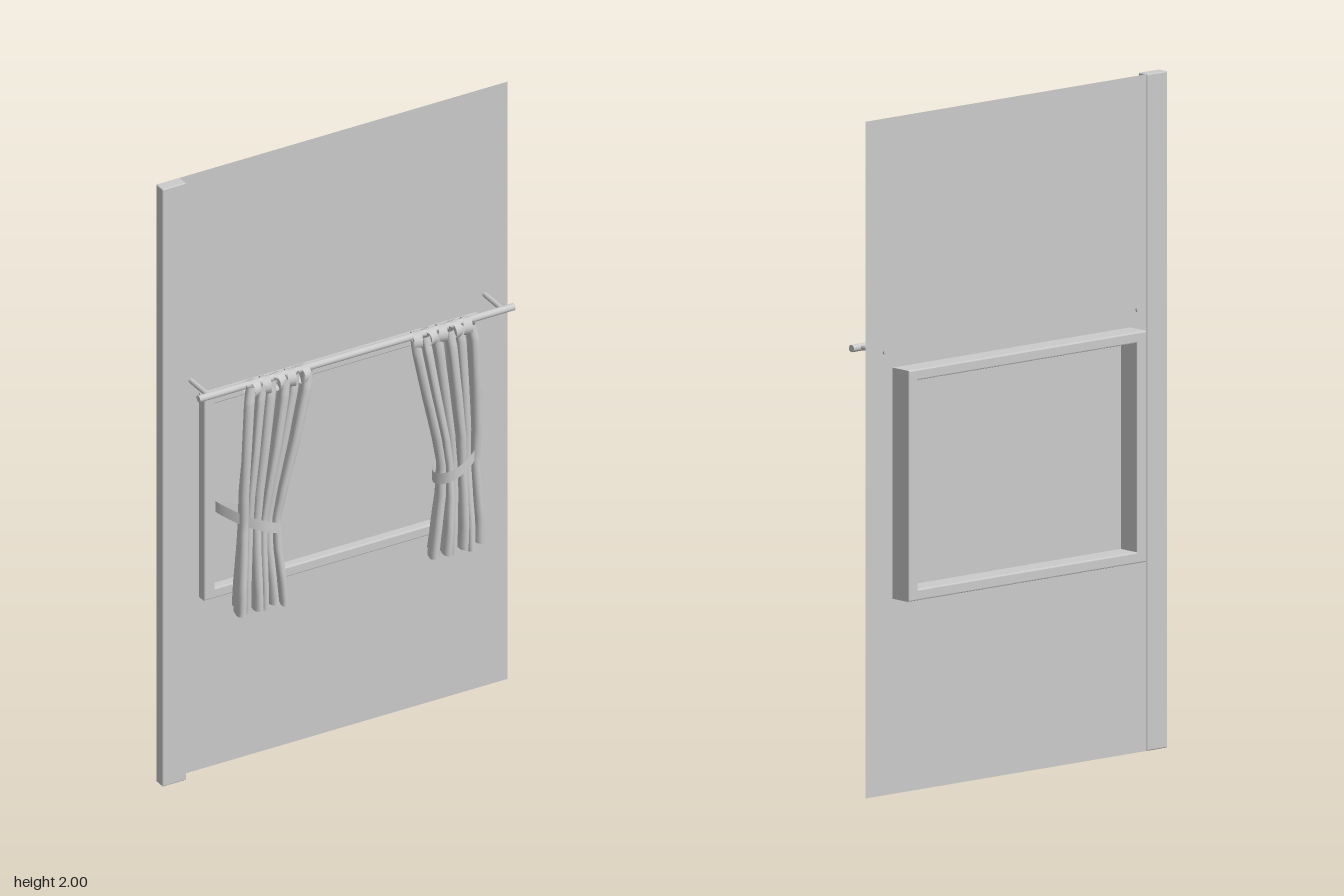
import * as THREE from 'three';
import { RoundedBoxGeometry } from 'three/addons/geometries/RoundedBoxGeometry.js';

const solid = new THREE.MeshStandardMaterial({ color: 0xcccccc });
const thin = new THREE.MeshStandardMaterial({ color: 0xcccccc, side: THREE.DoubleSide });
const MID = 0.022, ROD_Y = 1.31, ROD_Z = 0.05;

function add(parent, name, geometry, material, x = 0, y = 0, z = 0) {
  const mesh = new THREE.Mesh(geometry, material);
  mesh.name = name;
  mesh.position.set(x, y, z);
  parent.add(mesh);
  return mesh;
}

// Sheet over u, v in 0..1, placed by a rule
function sheet(nu, nv, rule) {
  const geo = new THREE.PlaneGeometry(1, 1, nu, nv);
  const p = geo.attributes.position;
  for (let i = 0; i < p.count; i++) {
    p.setXYZ(i, ...rule(p.getX(i) + 0.5, 0.5 - p.getY(i)));
  }
  geo.computeVertexNormals();
  return geo;
}

// Curtain outline: height, outer and inner distance from the middle, depth centre, fold depth
const rows = [
  [1.315, 0.375, 0.175, 0.06, 0.030],
  [1.26, 0.385, 0.182, 0.065, 0.030],
  [1.10, 0.392, 0.218, 0.06, 0.034],
  [0.95, 0.397, 0.255, 0.052, 0.036],
  [0.85, 0.395, 0.275, 0.047, 0.034],
  [0.75, 0.402, 0.272, 0.047, 0.040],
  [0.65, 0.412, 0.258, 0.047, 0.046],
  [0.56, 0.415, 0.248, 0.045, 0.048],
];

function rowAt(v) {
  const t = v * (rows.length - 1);
  const i = Math.min(Math.floor(t), rows.length - 2);
  return rows[i].map((a, k) => THREE.MathUtils.lerp(a, rows[i + 1][k], t - i));
}

function curtain(side) {
  const group = new THREE.Group();
  group.name = side > 0 ? 'leftCurtain' : 'rightCurtain';

  // Pleated cloth, folds doubling back on themselves
  add(group, 'cloth', sheet(110, 35, (u, v) => {
    const [y, outer, inner, zc, amp] = rowAt(v);
    const a = u * Math.PI * 11 + 0.5 * Math.sin(4 * v + 5 * u);
    const wave = 0.82 * Math.sin(a) + 0.25 * Math.sin(a * 0.43 + 2 * v + side);
    const d = THREE.MathUtils.lerp(outer, inner, u) + 0.009 * Math.sin(2 * a);
    const hem = v > 0.9 ? 0.008 * Math.sin(a * 0.5) * (v - 0.9) * 10 : 0;
    return [MID + side * d, y + hem, zc + amp * wave];
  }), thin);

  // Tab loops over the rod
  for (let i = 0; i < 5; i++) {
    const loop = add(group, 'tabLoop', new THREE.CylinderGeometry(0.027, 0.027, 0.026, 14, 1, true),
      thin, MID + side * (0.36 - i * 0.042), ROD_Y - 0.006, ROD_Z + 0.016);
    loop.rotation.set(0, side * (i % 2 ? 0.25 : -0.25), Math.PI / 2);
  }

  // Tieback band, rising outward toward the wall
  const path = new THREE.CatmullRomCurve3([
    [0.262, 0.815, 0.045], [0.285, 0.825, 0.085], [0.34, 0.85, 0.094],
    [0.40, 0.875, 0.06], [0.44, 0.895, -0.012], [0.36, 0.86, -0.008], [0.285, 0.825, 0.008],
  ].map(([d, y, z]) => new THREE.Vector3(MID + side * d, y, z)), true);
  add(group, 'tieback', sheet(48, 1, (u, v) => {
    const p = path.getPoint(u);
    return [p.x, p.y + (0.5 - v) * 0.036, p.z];
  }), thin);
  return group;
}

function rectangle(Target, x0, y0, x1, y1) {
  const s = new Target();
  s.moveTo(x0, y0).lineTo(x1, y0).lineTo(x1, y1).lineTo(x0, y1).closePath();
  return s;
}

export function createModel() {
  const model = new THREE.Group();
  model.name = 'curtainedWindowWall';

  // Wall panel and edge post
  add(model, 'wall', new THREE.PlaneGeometry(1.182, 2), thin, 0, 1, -0.054);
  add(model, 'edgePost', new RoundedBoxGeometry(0.08, 2, 0.038, 2, 0.004), solid, -0.551, 1, -0.038);

  // Window frame, passing through the wall
  const b = 0.004;
  const outline = rectangle(THREE.Shape, -0.447 + b, 0.577 + b, 0.485 - b, 1.26 - b);
  outline.holes.push(rectangle(THREE.Path, -0.41 - b, 0.61 - b, 0.448 + b, 1.228 + b));
  add(model, 'windowFrame', new THREE.ExtrudeGeometry(outline, {
    depth: 0.1 - 2 * b, bevelEnabled: true, bevelSize: b, bevelThickness: b, bevelSegments: 2,
  }), solid, 0, 0, -0.125 + b);

  // Curtain rod with its two wall brackets
  add(model, 'curtainRod', new THREE.CylinderGeometry(0.011, 0.011, 1.062, 16), solid, 0.02, ROD_Y, ROD_Z)
    .rotation.z = Math.PI / 2;
  for (const x of [-0.475, 0.515]) {
    add(model, 'rodBracket', new THREE.CylinderGeometry(0.008, 0.008, 0.11, 12), solid, x, ROD_Y, -0.005)
      .rotation.x = Math.PI / 2;
  }

  for (const side of [-1, 1]) model.add(curtain(side));
  return model;
}
